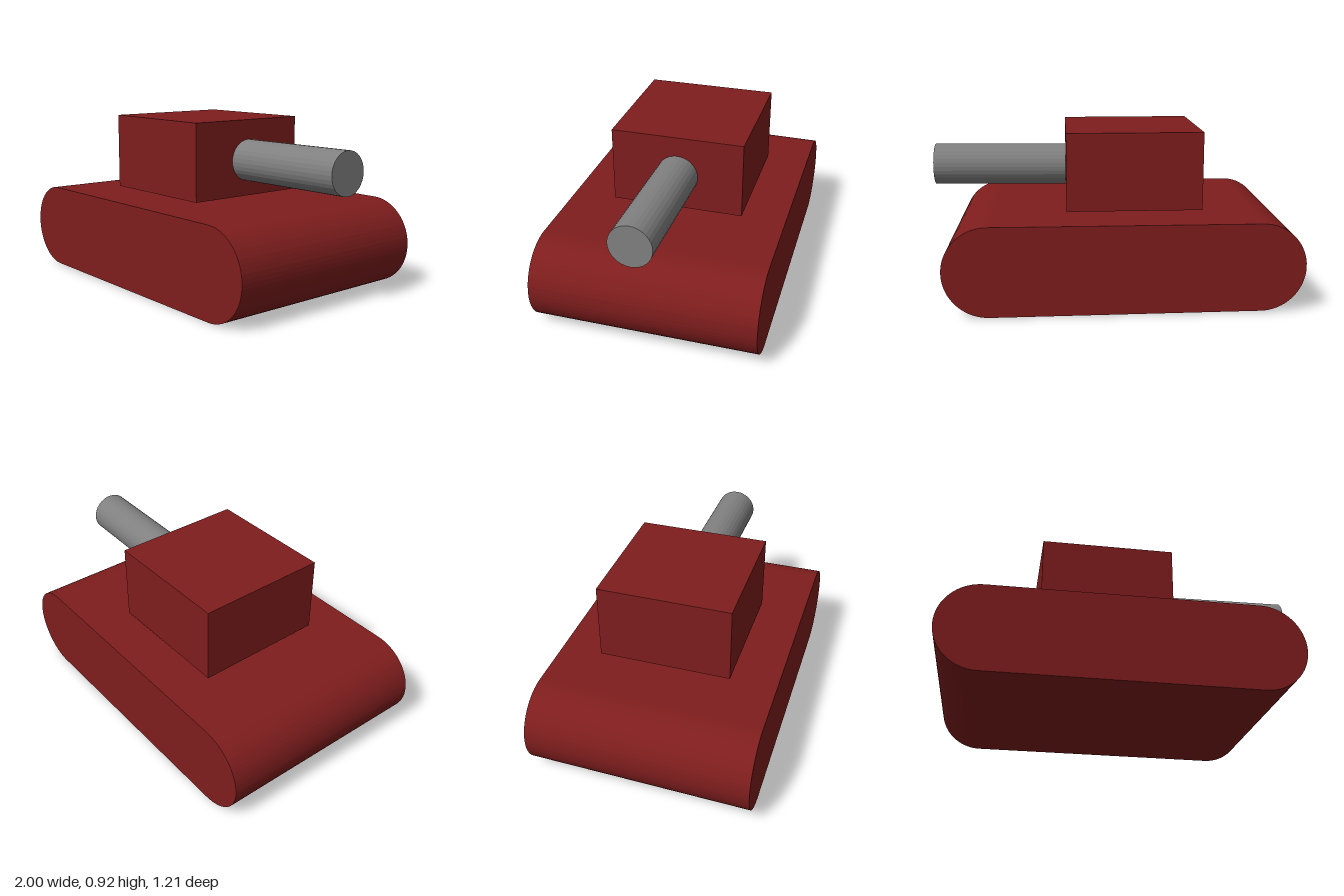
import * as THREE from 'three';

const red = new THREE.MeshStandardMaterial({ color: 0x7f1d1d, flatShading: true });
const grey = new THREE.MeshStandardMaterial({ color: 0x808080, flatShading: true });

function part(name, geometry, material) {
  const mesh = new THREE.Mesh(geometry, material);
  mesh.name = name;
  return mesh;
}

// Hull: a rounded-end side profile extruded across the width
function hullGeometry() {
  const width = 1.21;
  const profile = new THREE.Shape();
  profile.absarc(0.67, 0.24, 0.24, -Math.PI / 2, Math.PI / 2, false);
  profile.absarc(-0.765, 0.242, 0.235, Math.PI / 2, Math.PI * 1.5, false);
  const geometry = new THREE.ExtrudeGeometry(profile, { depth: width, bevelEnabled: false, curveSegments: 16 });
  geometry.translate(0, 0, -width / 2);
  // the rear rounded end is slightly out of square
  const p = geometry.attributes.position;
  for (let i = 0; i < p.count; i++) {
    if (p.getX(i) < 0) p.setX(i, p.getX(i) + 0.022 * (0.5 - p.getZ(i) / width));
  }
  geometry.computeVertexNormals();
  return geometry;
}

export function createModel() {
  const model = new THREE.Group();
  model.name = 'tank';

  model.add(part('hull', hullGeometry(), red));

  // Turret, just clear of the hull deck
  const turret = part('turret', new THREE.BoxGeometry(0.73, 0.42, 0.725), red);
  turret.position.set(-0.1, 0.709, -0.007);
  model.add(turret);

  // Gun barrel, very slightly off the x axis
  const start = new THREE.Vector3(0.265, 0.697, -0.01);
  const end = new THREE.Vector3(0.994, 0.703, 0);
  const axis = end.clone().sub(start);
  const barrel = part('barrel', new THREE.CylinderGeometry(0.114, 0.114, axis.length(), 32), grey);
  barrel.position.copy(start).add(end).multiplyScalar(0.5);
  barrel.quaternion.setFromUnitVectors(new THREE.Vector3(0, 1, 0), axis.normalize());
  model.add(barrel);

  return model;
}
